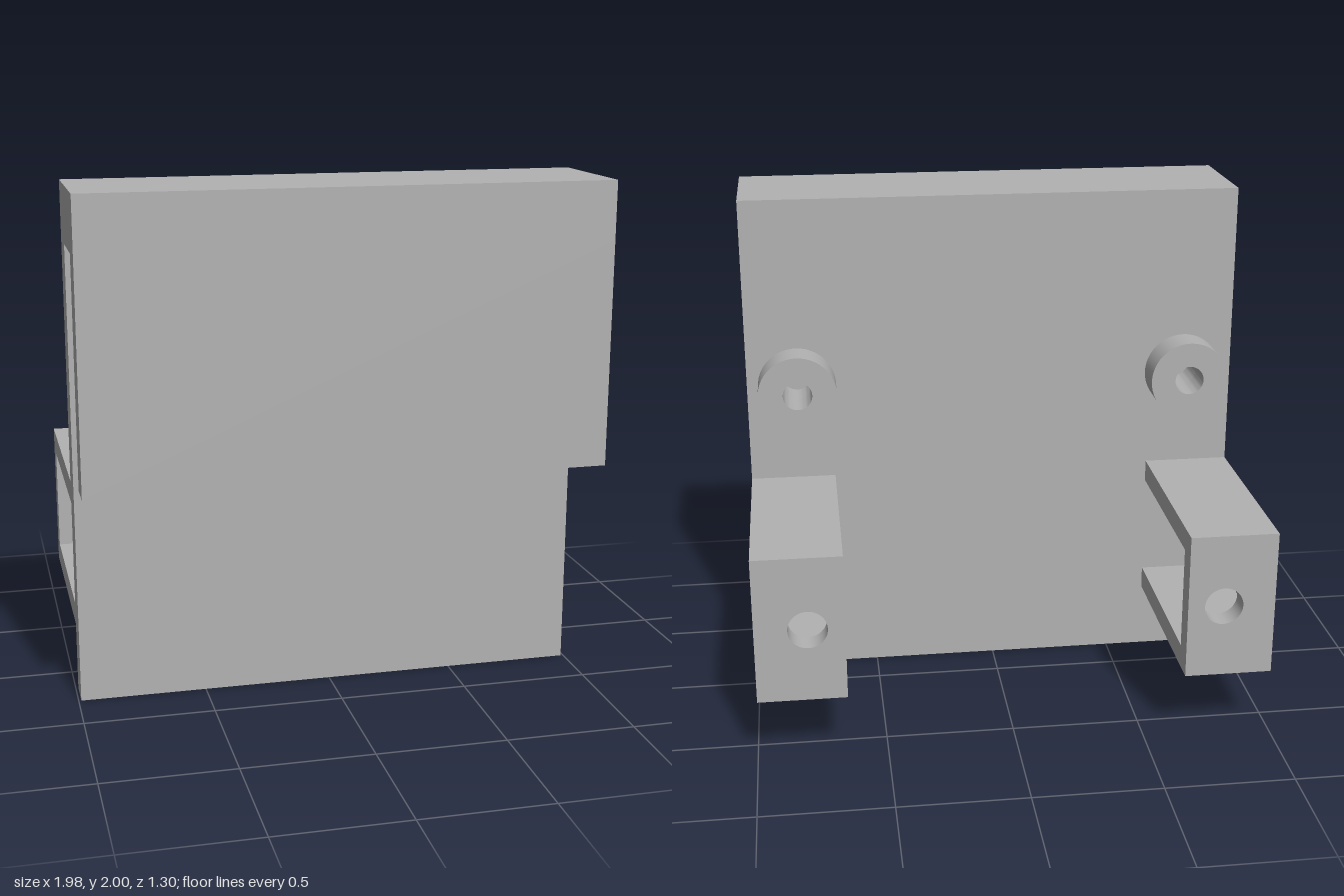
import * as THREE from 'three';
import { toCreasedNormals } from 'three/addons/utils/BufferGeometryUtils.js';

export function createModel() {
  const group = new THREE.Group();
  const grey = new THREE.MeshStandardMaterial({ color: 0xb2b2b2 });
  grey.name = 'grey';

  const W = 0.99;        // half width
  const HOLE_X = 0.79;   // shared axis of bosses and bracket holes
  const BOSS_Y = 1.245, BORE = 0.058;

  const add = (name, geometry, parent = group) => {
    const mesh = new THREE.Mesh(geometry, grey);
    mesh.name = name;
    parent.add(mesh);
    return mesh;
  };
  // Box given by its limits on each axis
  const box = (x0, x1, y0, y1, z0, z1) =>
    new THREE.BoxGeometry(x1 - x0, y1 - y0, z1 - z0)
      .translate((x0 + x1) / 2, (y0 + y1) / 2, (z0 + z1) / 2);
  const rect = (x0, x1, y0, y1) => new THREE.Shape([
    new THREE.Vector2(x0, y0), new THREE.Vector2(x1, y0),
    new THREE.Vector2(x1, y1), new THREE.Vector2(x0, y1)]);
  const hole = (shape, x, y, r) => {
    shape.holes.push(new THREE.Path().absarc(x, y, r, 0, Math.PI * 2, true));
    return shape;
  };
  // Extrude an x-y shape between two depths, keeping round walls smooth
  const slab = (shape, z0, z1) => toCreasedNormals(
    new THREE.ExtrudeGeometry(shape, { depth: z1 - z0, bevelEnabled: false, curveSegments: 24 })
      .translate(0, 0, z0), 0.6);

  // Back plate, bored through behind each boss
  const plate = rect(-W, W, 0, 1.78);
  for (const s of [-1, 1]) hole(plate, s * HOLE_X, BOSS_Y, BORE);
  add('backPlate', slab(plate, 0.165, 0.29));

  // Hook over the top: bridge and hanging lip
  add('hookBridge', box(-W, W, 1.78, 2, 0.165, 0.65));
  add('hookLip', box(-W, W, 0.92, 1.78, 0.53, 0.65));

  for (const s of [-1, 1]) {
    const side = s > 0 ? 'left' : 'right';

    // Round boss with bore
    const ring = new THREE.Shape().absarc(s * HOLE_X, BOSS_Y, 0.156, 0, Math.PI * 2, false);
    add(side + 'Boss', slab(hole(ring, s * HOLE_X, BOSS_Y, BORE), 0.03, 0.165));

    // Open rectangular bracket with a hole in its end wall
    const bracket = new THREE.Group();
    bracket.name = side + 'Bracket';
    group.add(bracket);
    const x0 = s > 0 ? 0.65 : -W, x1 = s > 0 ? W : -0.65;
    add('bracketTop', box(x0, x1, 0.765, 0.852, -0.56, 0.165), bracket);
    add('bracketBottom', box(x0, x1, 0.27, 0.358, -0.56, 0.165), bracket);
    add('bracketEnd', slab(hole(rect(x0, x1, 0.27, 0.852), s * HOLE_X, 0.561, 0.075), -0.65, -0.56), bracket);
  }
  return group;
}
